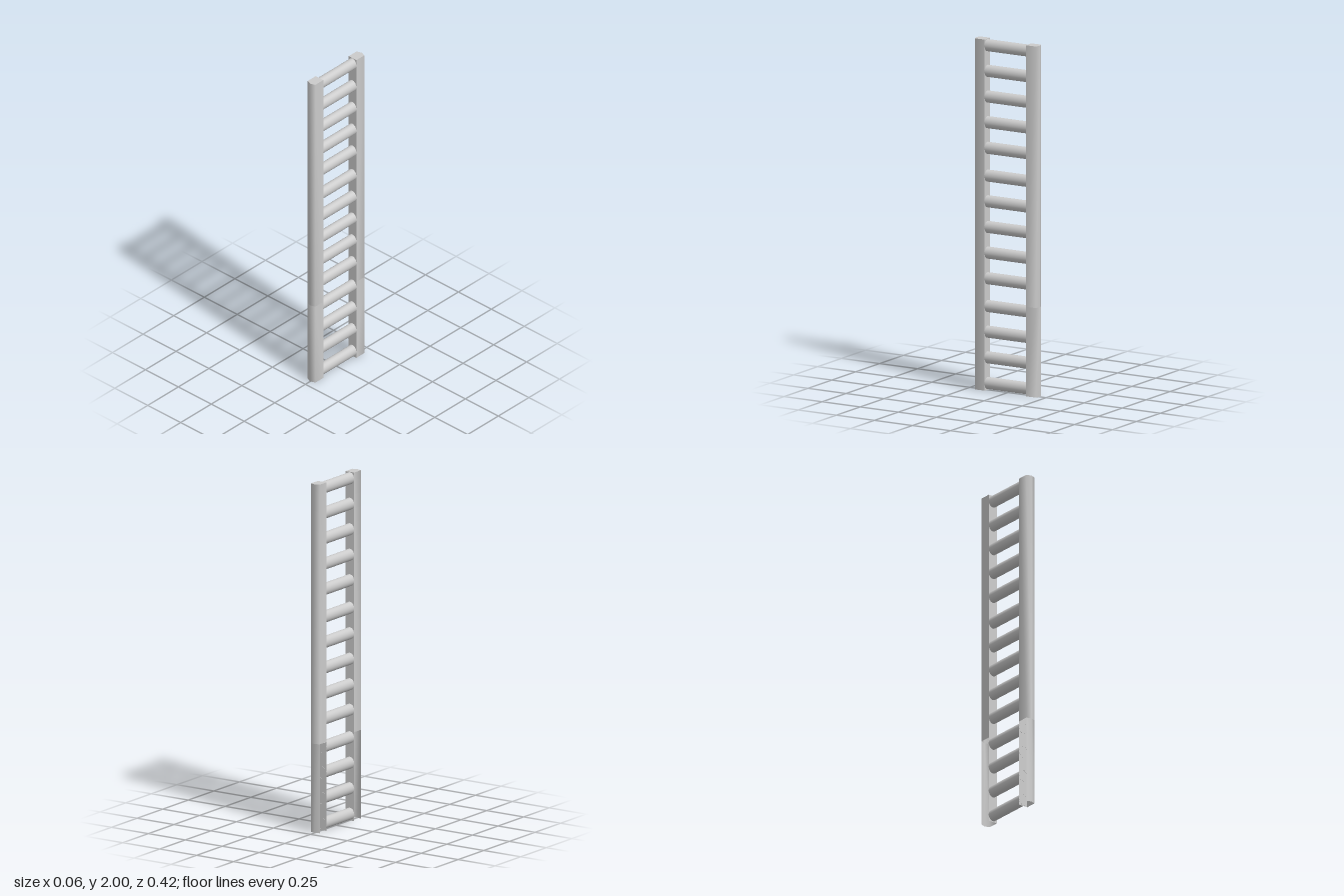
import * as THREE from 'three';
import { toCreasedNormals } from 'three/addons/utils/BufferGeometryUtils.js';

const HEIGHT = 2, SPLIT = 0.51;
const RUNG_GROUPS = [4, 5, 5];

// Rail cross-section as [x, z]: flat sides, with a shallow ridge facing outward
const PROFILE = [[0.029, 0.135], [0.029, 0.2], [0, 0.21], [-0.029, 0.2], [-0.029, 0.135]];

// Mesh from triangles of corner points, smooth round the ridge and sharp at square corners;
// flip reverses the winding for the mirrored rail
function facets(name, triangles, flip, material) {
  const points = triangles.flatMap(([a, b, c]) => (flip ? [a, c, b] : [a, b, c]));
  const geometry = new THREE.BufferGeometry();
  geometry.setAttribute('position', new THREE.Float32BufferAttribute(points.flat(), 3));
  const mesh = new THREE.Mesh(toCreasedNormals(geometry, 1.35), material);
  mesh.name = name;
  return mesh;
}

// Upright walls on the chosen profile edges between two heights
function walls(profile, edges, y0, y1) {
  return edges.flatMap((i) => {
    const [ax, az] = profile[i];
    const [bx, bz] = profile[(i + 1) % profile.length];
    const a0 = [ax, y0, az], a1 = [ax, y1, az], b0 = [bx, y0, bz], b1 = [bx, y1, bz];
    return [[a0, a1, b1], [a0, b1, b0]];
  });
}

function makeRail(side, material) {
  const rail = new THREE.Group();
  rail.name = side > 0 ? 'frontRail' : 'backRail';
  const profile = PROFILE.map(([x, z]) => [x, z * side]);
  const flip = side < 0;

  // Upper section, closed all round and on top
  const top = profile.map(([x, z]) => [x, HEIGHT, z]);
  const cap = [1, 2, 3].map((i) => [top[0], top[i + 1], top[i]]);
  const upper = walls(profile, [0, 1, 2, 3, 4], SPLIT, HEIGHT).concat(cap);
  rail.add(facets('upperRail', upper, flip, material));

  // Lower section, open along one side and underneath
  rail.add(facets('lowerRail', walls(profile, [0, 1, 2, 4], 0, SPLIT), flip, material));
  return rail;
}

export function createModel() {
  const model = new THREE.Group();
  model.name = 'ladder';
  const material = new THREE.MeshStandardMaterial({ color: 0xcccccc, side: THREE.DoubleSide });

  for (const side of [1, -1]) model.add(makeRail(side, material));

  // Round open-ended rungs between the rails, with a slightly wider gap between groups
  const rungGeometry = new THREE.CylinderGeometry(0.034, 0.034, 0.272, 24, 1, true)
    .rotateX(Math.PI / 2)
    .scale(0.86, 1, 1);
  let y = 0.039;
  for (const count of RUNG_GROUPS) {
    for (let i = 0; i < count; i++) {
      const rung = new THREE.Mesh(rungGeometry, material);
      rung.name = 'rung';
      rung.position.y = y;
      model.add(rung);
      y += 0.1462;
    }
    y += 0.012;
  }
  return model;
}
